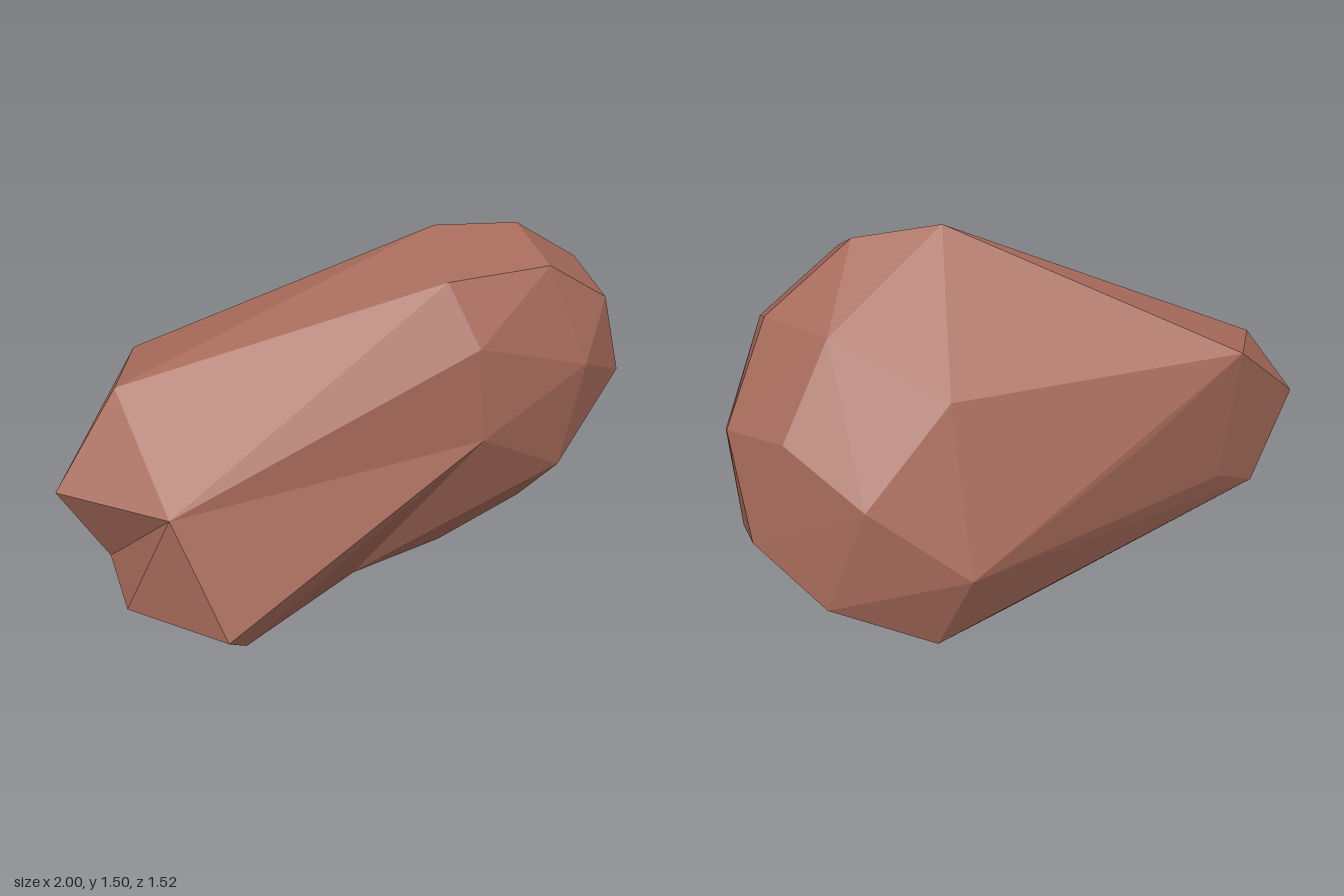
import * as THREE from 'three';
import { ConvexGeometry } from 'three/addons/geometries/ConvexGeometry.js';

const stone = new THREE.MeshStandardMaterial({ color: 0xa66a5a });
stone.name = 'reddish brown stone';

// Faceted chunk: the convex skin over its corner points
function chunk(name, corners) {
  const geometry = new ConvexGeometry(corners.map((c) => new THREE.Vector3(...c)));
  const mesh = new THREE.Mesh(geometry, stone);
  mesh.name = name;
  return mesh;
}

// Corners where the foot grows out of the body
const seam = [
  [-0.57, 0.71, 0.69], [-0.88, 0.35, 0.43], [-0.76, 0.48, 0.2],
  [-0.35, 0.16, 0.13], [0, 0.16, 0.21], [0.47, 0.82, 0.26],
];

// Crown ridge and shoulder
const crown = [
  [0.26, 1.5, -0.05], [0.55, 1.47, -0.18], [0.32, 1.4, 0.21], [0.67, 1.38, -0.01],
  [0.44, 1.19, 0.28], [0.79, 1.25, -0.42], [0.52, 1.24, -0.53], [0.1, 1.05, -0.53],
];

// Rounded end
const end = [
  [0.9, 1.17, -0.23], [1, 0.78, -0.4], [0.9, 0.47, -0.54], [0.83, 1, -0.01],
  [0.77, 0.52, -0.08], [0.64, 0.24, -0.27], [0.87, 0.91, -0.63], [0.77, 0.53, -0.73],
];

// Back face
const back = [
  [0.63, 0.92, -0.71], [0.34, 0.72, -0.75], [0.5, 0.31, -0.76],
  [0, 0.44, -0.66], [-0.5, 0.78, -0.19], [-0.33, 0.3, -0.1],
];

// Underside
const base = [
  [0.63, 0.16, -0.53], [0.29, 0, -0.39], [-0.03, 0.03, -0.21],
  [0.32, 0.07, -0.16], [0.16, 0.09, -0.58],
];

// Pointed nose
const nose = [[-1, 0.71, 0.56], [-0.81, 1.05, 0.1], [-0.81, 1.03, 0.37]];

// Low foot under the nose, leaving a notch between them
const foot = [
  [-0.38, 0.25, 0.76], [-0.78, 0.25, 0.61], [-0.44, 0.12, 0.38], [-0.35, 0.12, 0.62],
];

export function createModel() {
  const rock = new THREE.Group();
  rock.name = 'rock';
  rock.add(
    chunk('rockBody', [...seam, ...crown, ...end, ...back, ...base, ...nose]),
    chunk('rockFoot', [...seam, ...foot]),
  );
  return rock;
}
